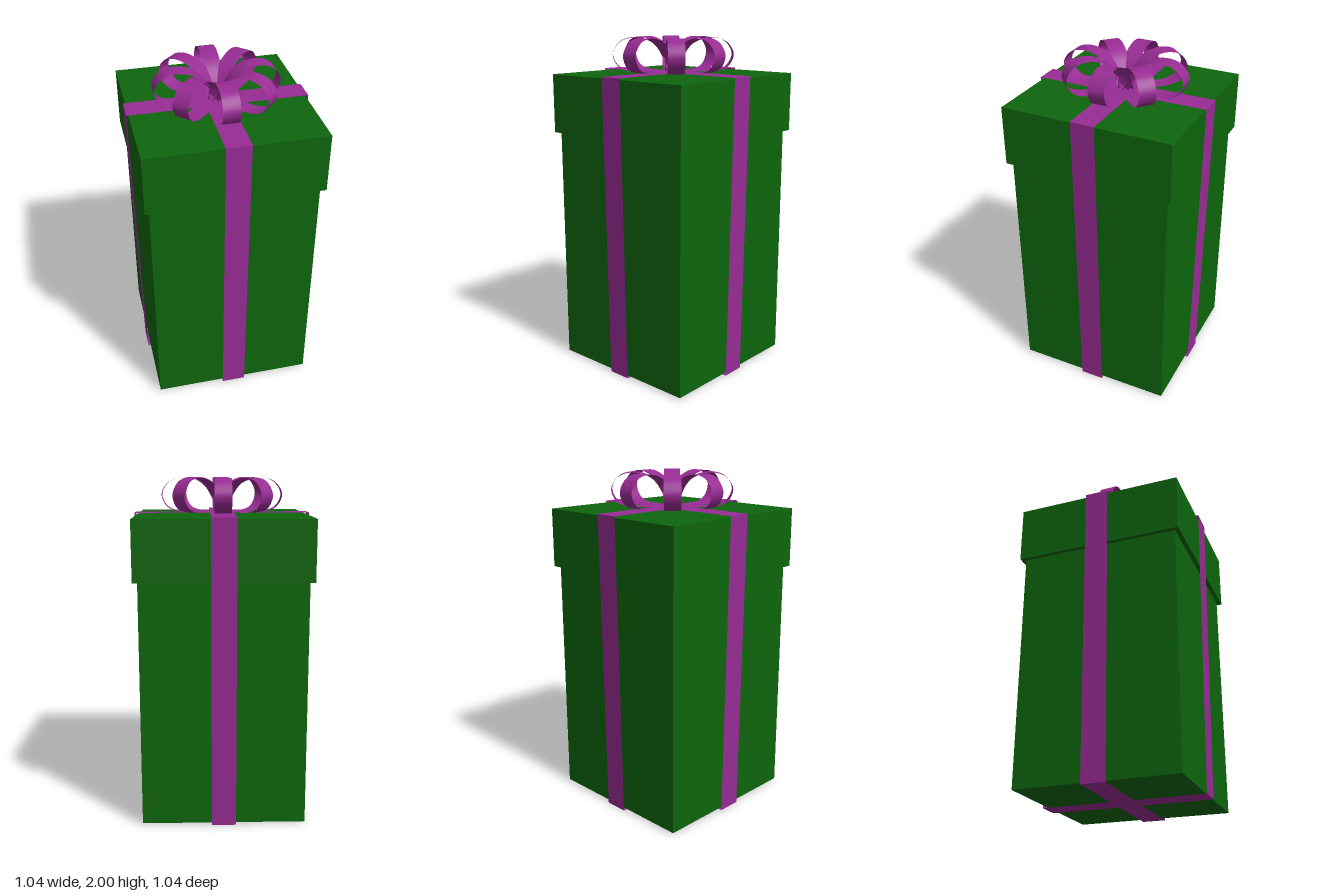
import * as THREE from 'three';

const green = new THREE.MeshStandardMaterial({ color: 0x0e660e });
const purple = new THREE.MeshStandardMaterial({ color: 0x982c94, side: THREE.DoubleSide });
const purpleFlat = purple.clone();
purpleFlat.flatShading = true;

// Thin band of constant width (along z) following a path in the xy plane
function band(points, width) {
  const position = [], index = [];
  points.forEach((p, i) => {
    position.push(p.x, p.y, -width / 2, p.x, p.y, width / 2);
    if (i < points.length - 1) {
      const a = i * 2;
      index.push(a, a + 1, a + 3, a, a + 3, a + 2);
    }
  });
  const geometry = new THREE.BufferGeometry();
  geometry.setAttribute('position', new THREE.Float32BufferAttribute(position, 3));
  geometry.setIndex(index);
  geometry.computeVertexNormals();
  return geometry;
}

function addBox(group, name, size, bottom, top) {
  const mesh = new THREE.Mesh(new THREE.BoxGeometry(size, top - bottom, size), green);
  mesh.name = name;
  mesh.position.y = (bottom + top) / 2;
  group.add(mesh);
}

export function createModel() {
  const model = new THREE.Group();
  model.name = 'giftBox';

  // Box and overhanging lid
  addBox(model, 'boxBody', 0.956, 0.01, 1.5);
  addBox(model, 'lid', 1.01, 1.44, 1.787);

  // Two crossing ribbons, slightly narrower at the foot
  const wrap = [[-0.518, 1.797], [0.518, 1.797], [0.492, 0], [-0.492, 0], [-0.518, 1.797]]
    .map(([x, y]) => new THREE.Vector2(x, y));
  const wrapGeometry = band(wrap, 0.142);
  for (let i = 0; i < 2; i++) {
    const ribbon = new THREE.Mesh(wrapGeometry, purpleFlat);
    ribbon.name = i ? 'ribbonFrontToBack' : 'ribbonSideToSide';
    ribbon.rotation.y = i * Math.PI / 2;
    model.add(ribbon);
  }

  // Bow: eight teardrop loops around the centre
  const bow = new THREE.Group();
  bow.name = 'bow';
  const profile = new THREE.SplineCurve([
    [0, 1.802], [0.035, 1.88], [0.09, 1.948], [0.16, 1.988], [0.24, 2], [0.315, 1.975],
    [0.357, 1.905], [0.325, 1.833], [0.255, 1.805], [0.15, 1.802], [0, 1.802],
  ].map(([x, y]) => new THREE.Vector2(x, y)));
  const loopGeometry = band(profile.getPoints(48), 0.098);
  for (let i = 0; i < 8; i++) {
    const loop = new THREE.Mesh(loopGeometry, purple);
    loop.name = `bowLoop${i + 1}`;
    loop.rotation.y = i * Math.PI / 4;
    if (i % 4 === 2) loop.scale.x = 1.035; // front and back loops are a little longer
    bow.add(loop);
  }
  model.add(bow);
  return model;
}
